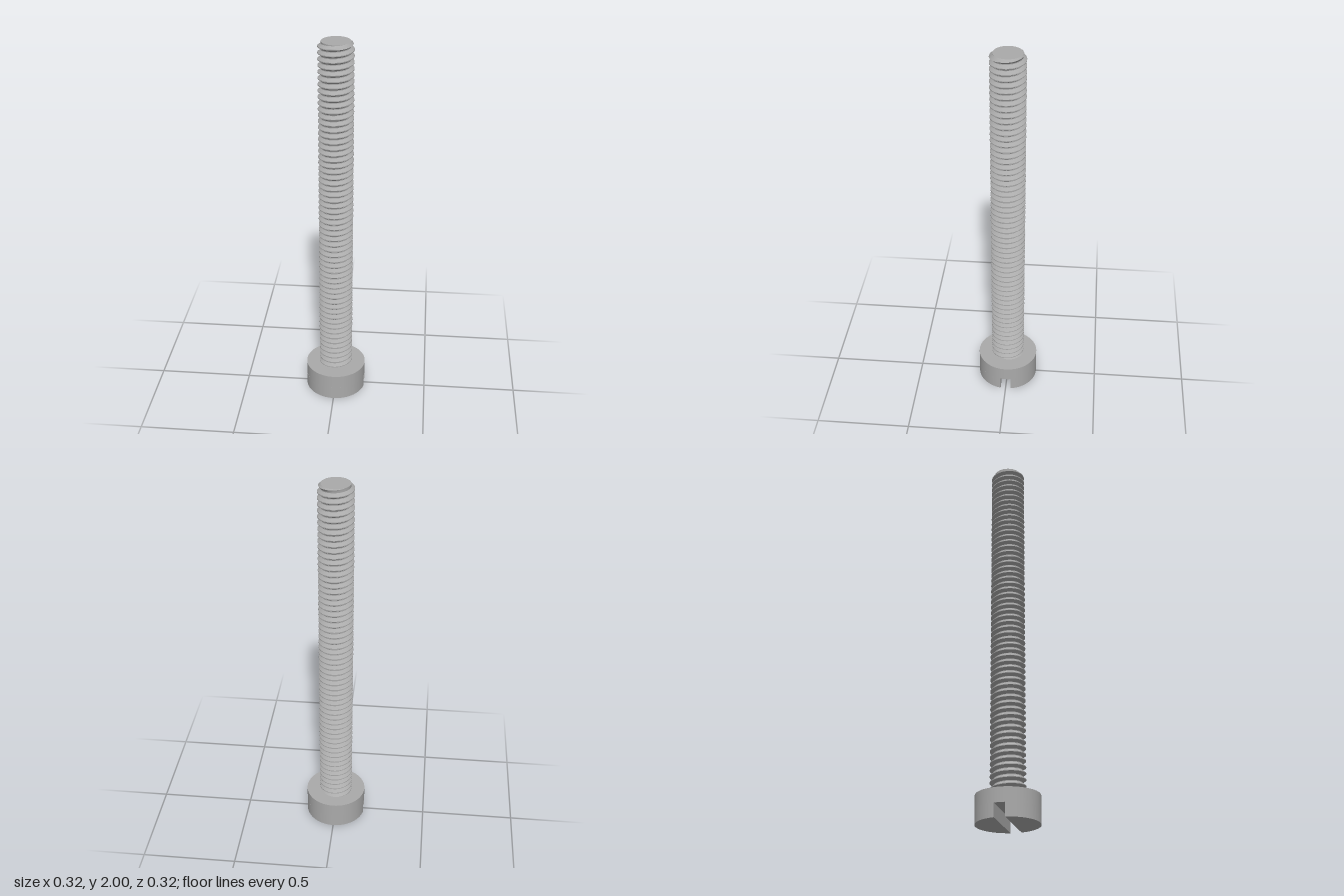
import * as THREE from 'three';
import { toCreasedNormals } from 'three/addons/utils/BufferGeometryUtils.js';

const HEAD_R = 0.162, HEAD_H = 0.145, SLOT_HALF = 0.028, SLOT_DEPTH = 0.07;
const ROOT_R = 0.073, CREST_R = 0.09, PITCH = 0.032, TOP = 2, SIDES = 48;

// Right-handed helical thread, swept as rows that climb one pitch per turn
function threadGeometry() {
  const profile = [[0, ROOT_R], [0.14, ROOT_R], [0.5, CREST_R], [0.64, CREST_R]];
  const start = HEAD_H - 0.005;
  const turns = Math.ceil((TOP - start) / PITCH) + 2;
  const positions = [], indices = [];
  const rows = turns * profile.length;
  for (let k = 0; k < rows; k++) {
    const [phase, radius] = profile[k % profile.length];
    const base = start + PITCH * (Math.floor(k / profile.length) - 1 + phase);
    for (let j = 0; j <= SIDES; j++) {
      const a = (j % SIDES) / SIDES * Math.PI * 2;
      const y = THREE.MathUtils.clamp(base + PITCH * j / SIDES, start, TOP);
      const r = Math.min(radius, ROOT_R + (TOP - y)); // chamfered tip
      positions.push(r * Math.sin(a), y, r * Math.cos(a));
    }
  }
  const height = i => positions[i * 3 + 1];
  for (let k = 0; k < rows - 1; k++) {
    for (let j = 0; j < SIDES; j++) {
      const a = k * (SIDES + 1) + j, b = a + 1, d = a + SIDES + 1, c = d + 1;
      // skip faces collapsed at either end
      if (height(a) >= TOP || height(c) <= start) continue;
      indices.push(a, b, c, a, c, d);
    }
  }
  const geometry = new THREE.BufferGeometry();
  geometry.setAttribute('position', new THREE.Float32BufferAttribute(positions, 3));
  geometry.setIndex(indices);
  return toCreasedNormals(geometry, 0.5);
}

// Half of the slotted lower head: a circle segment beside the slot
function slotHalfGeometry() {
  const a = Math.asin(SLOT_HALF / HEAD_R);
  const shape = new THREE.Shape();
  shape.absarc(0, 0, HEAD_R, a, Math.PI - a, false);
  shape.closePath();
  const geometry = new THREE.ExtrudeGeometry(shape, {
    depth: SLOT_DEPTH, bevelEnabled: false, curveSegments: 32,
  });
  geometry.rotateX(-Math.PI / 2);
  return toCreasedNormals(geometry, 0.5);
}

export function createModel() {
  const group = new THREE.Group();
  group.name = 'slottedScrew';
  const steel = new THREE.MeshStandardMaterial({ color: 0xaaaaaa });
  steel.name = 'steel grey';

  const add = (name, geometry) => {
    const mesh = new THREE.Mesh(geometry, steel);
    mesh.name = name;
    group.add(mesh);
    return mesh;
  };

  // Head: solid disc above, two segments either side of the slot below
  add('headDisc', new THREE.CylinderGeometry(HEAD_R, HEAD_R, HEAD_H - SLOT_DEPTH, 64))
    .position.y = (HEAD_H + SLOT_DEPTH) / 2;
  const half = slotHalfGeometry();
  add('headHalfBack', half);
  add('headHalfFront', half).rotation.y = Math.PI;

  // Threaded shank and its flat end
  add('threadedShank', threadGeometry());
  const tip = add('shankEnd', new THREE.CircleGeometry(ROOT_R, SIDES));
  tip.rotation.x = -Math.PI / 2;
  tip.position.y = TOP;

  return group;
}
